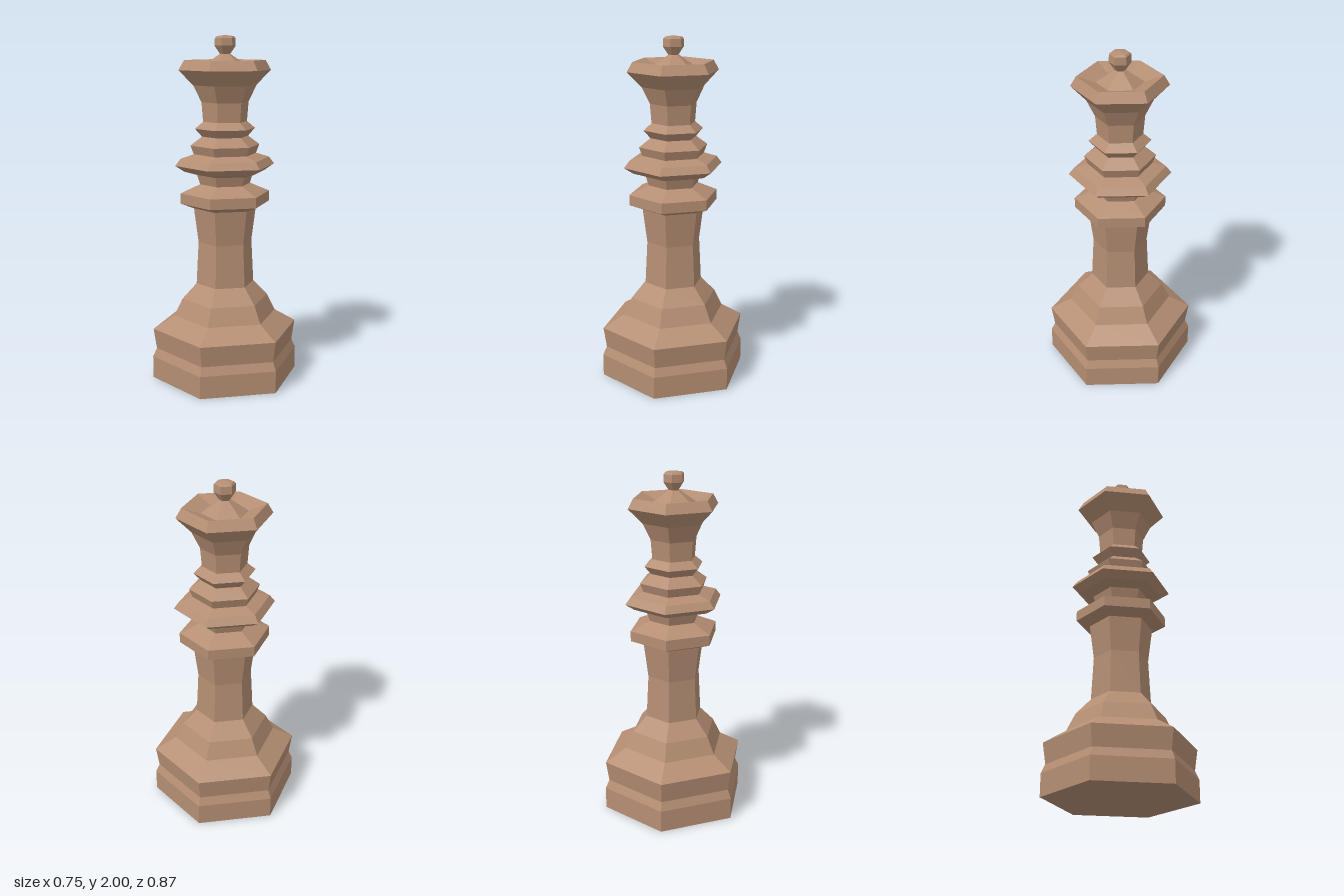
import * as THREE from 'three';

export function createModel() {
  const group = new THREE.Group();
  const wood = new THREE.MeshStandardMaterial({ color: 0xb58e73, flatShading: true });
  wood.name = 'warmWood';

  // Six-sided turned section; profile points are [corner radius, height], bottom to top
  const turn = (name, profile) => {
    const points = profile.map(([r, y]) => new THREE.Vector2(r, y));
    const mesh = new THREE.Mesh(new THREE.LatheGeometry(points, 6), wood);
    mesh.name = name;
    group.add(mesh);
  };

  // Closed foot with a shallow waist and stepped shoulder
  turn('base', [[0, 0], [0.435, 0], [0.435, 0.13], [0.412, 0.18], [0.43, 0.3],
    [0.305, 0.375], [0.256, 0.475], [0.171, 0.565]]);
  turn('stem', [[0.171, 0.565], [0.158, 0.815], [0.184, 1.015]]);

  // Stack of rings around the neck
  turn('lowerCollar', [[0.184, 1.015], [0.262, 1.045], [0.262, 1.105], [0.147, 1.155]]);
  turn('wideRing', [[0.147, 1.155], [0.165, 1.21], [0.238, 1.23], [0.291, 1.265],
    [0.26, 1.305], [0.183, 1.33]]);
  turn('middleRing', [[0.183, 1.33], [0.202, 1.38], [0.135, 1.43]]);
  turn('upperRing', [[0.135, 1.43], [0.175, 1.475], [0.128, 1.515]]);

  // Flared head with a dished top and a low cone inside
  turn('crown', [[0.128, 1.515], [0.137, 1.625], [0.183, 1.72], [0.267, 1.805],
    [0.235, 1.86], [0.131, 1.825], [0.03, 1.895]]);
  turn('finial', [[0.03, 1.895], [0.061, 1.94], [0.059, 1.983], [0.05, 1.992], [0, 2]]);

  return group;
}
